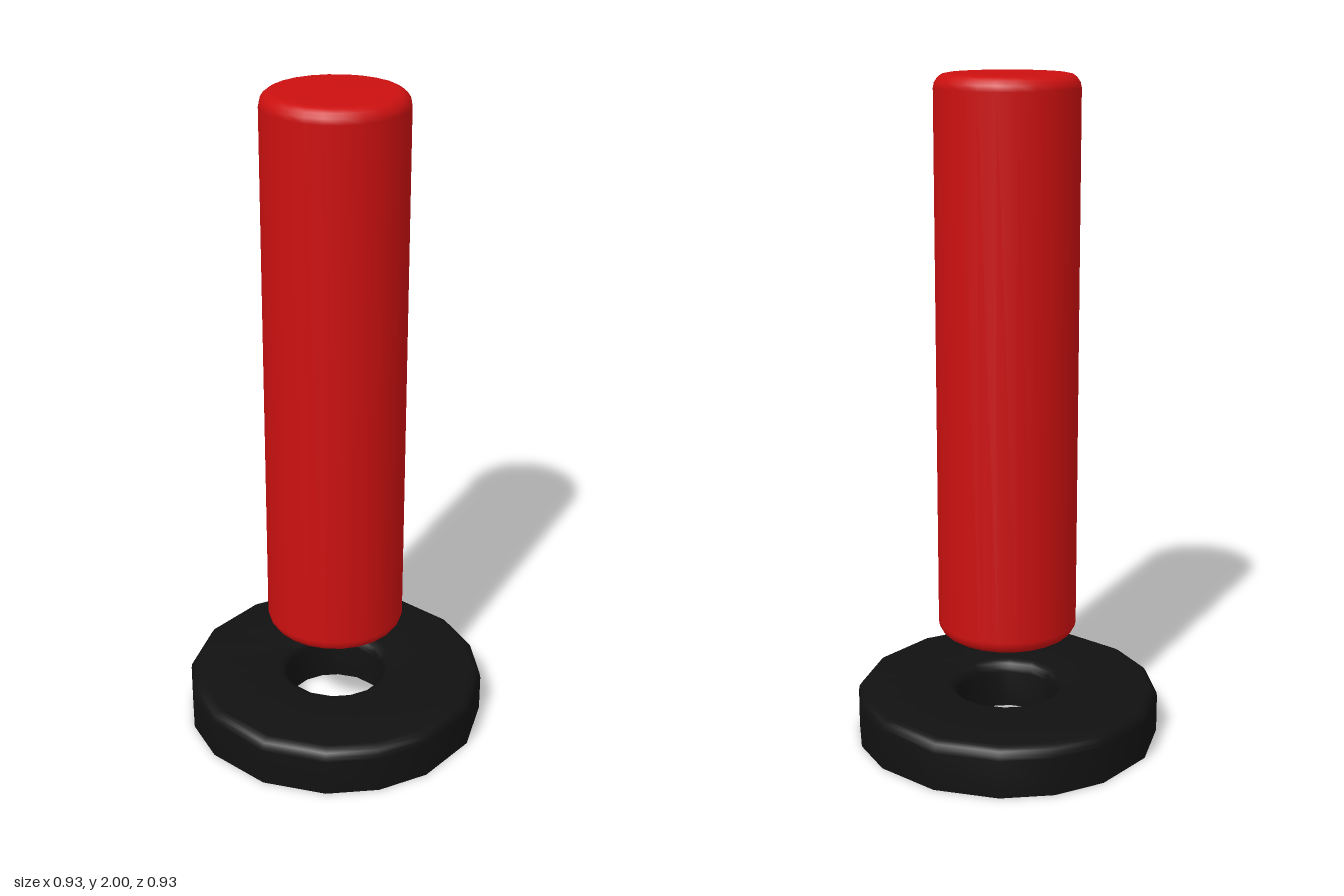
import * as THREE from 'three';
import { toCreasedNormals } from 'three/addons/utils/BufferGeometryUtils.js';

// Quarter-circle of profile points around (cx, cy), from angle a0 to a1 in degrees
function arc(cx, cy, r, a0, a1, steps = 4) {
  return Array.from({ length: steps + 1 }, (_, i) => {
    const a = THREE.MathUtils.degToRad(a0 + (a1 - a0) * i / steps);
    return new THREE.Vector2(cx + r * Math.cos(a), cy + r * Math.sin(a));
  });
}

function part(name, geometry, color) {
  const mesh = new THREE.Mesh(geometry, new THREE.MeshStandardMaterial({ color }));
  mesh.name = name;
  return mesh;
}

// Ring with rounded top edges and a flat underside; 16 unevenly spaced sides
function ringGeometry() {
  const outer = 0.463, inner = 0.155, height = 0.15, r = 0.035;
  const profile = [
    new THREE.Vector2(outer, 0),
    ...arc(outer - r, height - r, r, 0, 90),
    ...arc(inner + r, height - r, r, 90, 180),
    new THREE.Vector2(inner, 0),
    new THREE.Vector2(outer, 0),
  ];
  const geometry = new THREE.LatheGeometry(profile, 16);
  const corners = [0, 25.6, 50, 70];
  const pos = geometry.attributes.position;
  // shift each lathe column to its own corner angle
  for (let i = 0; i < pos.count; i++) {
    const column = Math.floor(i / profile.length) % 16;
    const angle = THREE.MathUtils.degToRad(90 * Math.floor(column / 4) + corners[column % 4]);
    const radius = Math.hypot(pos.getX(i), pos.getZ(i));
    pos.setX(i, radius * Math.sin(angle));
    pos.setZ(i, radius * Math.cos(angle));
  }
  return toCreasedNormals(geometry, 0.8);
}

// Upright cylinder with softened rims
function pillarGeometry() {
  const radius = 0.21, bottom = 0.325, top = 2, r = 0.04;
  return new THREE.LatheGeometry([
    new THREE.Vector2(0, bottom),
    ...arc(radius - r, bottom + r, r, -90, 0),
    ...arc(radius - r, top - r, r, 0, 90),
    new THREE.Vector2(0, top),
  ], 24);
}

export function createModel() {
  const group = new THREE.Group();
  group.name = 'pillarAndRing';
  group.add(part('baseRing', ringGeometry(), 0x111111));
  group.add(part('floatingPillar', pillarGeometry(), 0xcc1010));
  return group;
}
